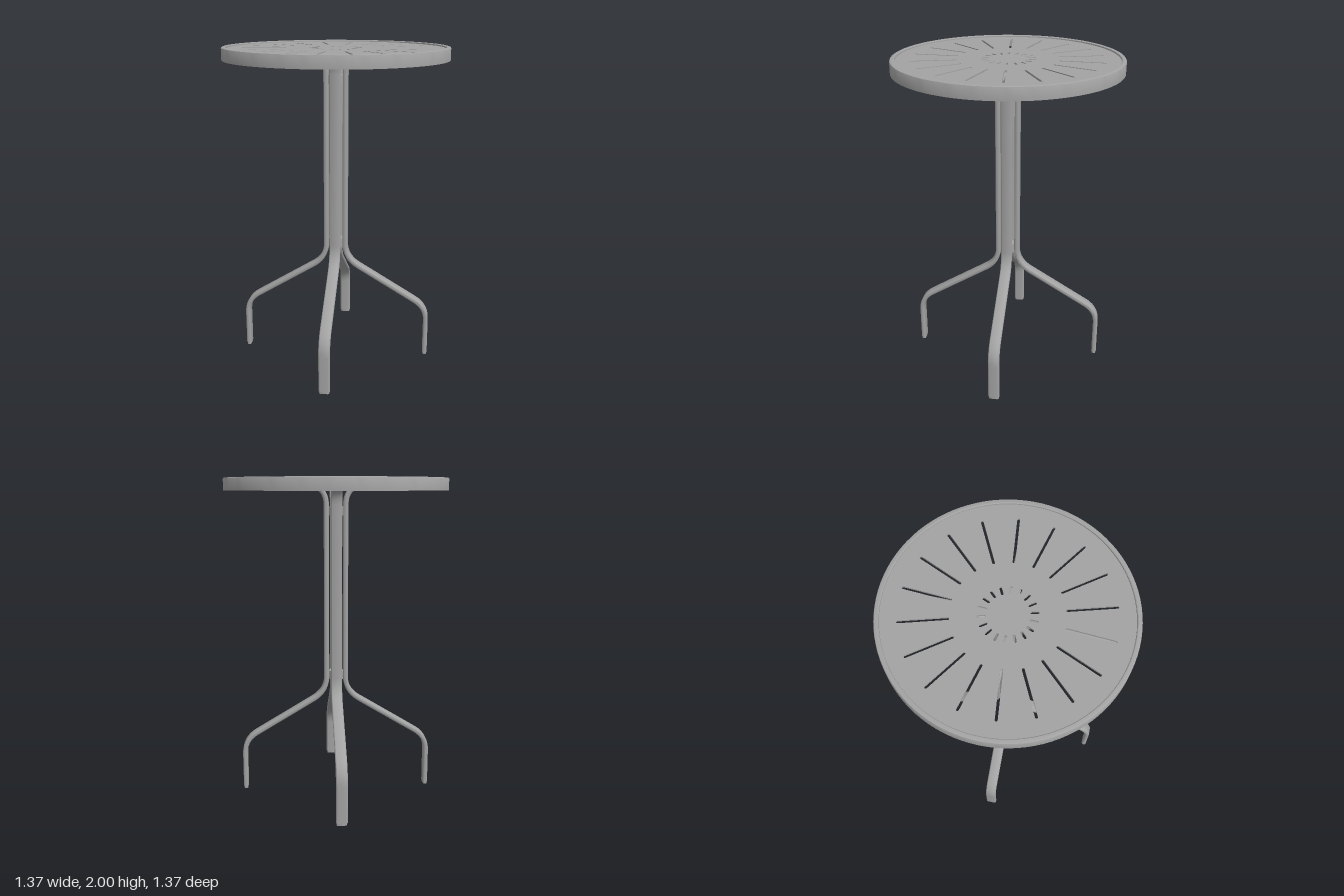
import * as THREE from 'three';
import { toCreasedNormals } from 'three/addons/utils/BufferGeometryUtils.js';

const V = (x, y) => new THREE.Vector2(x, y);

// polyline with its inner corners rounded; each corner is [x, y, cut length]
function filletPath(corners) {
  const out = [];
  corners.forEach(([x, y, cut], i) => {
    const p = V(x, y);
    if (!cut) { out.push(p); return; }
    const toward = (c) => V(c[0], c[1]).sub(p).setLength(cut).add(p);
    const a = toward(corners[i - 1]), b = toward(corners[i + 1]);
    out.push(...new THREE.QuadraticBezierCurve(a, p, b).getPoints(10));
  });
  return out;
}

// outline of a rounded rectangle, counter-clockwise
function roundedRect(w, h, r, n = 4) {
  const pts = [];
  [[1, 1], [-1, 1], [-1, -1], [1, -1]].forEach(([sx, sy], q) => {
    for (let i = 0; i <= n; i++) {
      const a = (q + i / n) * Math.PI / 2;
      pts.push(V(sx * (w / 2 - r) + r * Math.cos(a), sy * (h / 2 - r) + r * Math.sin(a)));
    }
  });
  return pts;
}

// sweep a section along a path lying in the xy plane; section x runs along z
function sweep(path, section) {
  const pos = [], idx = [], n = section.length, last = path.length - 1;
  path.forEach((p, i) => {
    const t = path[Math.min(i + 1, last)].clone().sub(path[Math.max(i - 1, 0)]).normalize();
    section.forEach((s) => pos.push(p.x - t.y * s.y, p.y + t.x * s.y, s.x));
  });
  for (let i = 0; i < last; i++) {
    for (let j = 0; j < n; j++) {
      const a = i * n + j, b = i * n + (j + 1) % n;
      idx.push(a, a + n, b, b, a + n, b + n);
    }
  }
  for (let j = 1; j < n - 1; j++) {
    idx.push(0, j, j + 1);
    idx.push(last * n, last * n + j + 1, last * n + j);
  }
  const g = new THREE.BufferGeometry();
  g.setAttribute('position', new THREE.Float32BufferAttribute(pos, 3));
  g.setIndex(idx);
  return toCreasedNormals(g, 0.7);
}

// radial slot with round ends
function slot(angle, r0, r1, width) {
  const pts = [], h = width / 2;
  for (let i = 0; i <= 6; i++) {
    const a = -Math.PI / 2 + i * Math.PI / 6;
    pts.push(V(r1 - h + h * Math.cos(a), h * Math.sin(a)));
  }
  for (let i = 0; i <= 6; i++) {
    const a = Math.PI / 2 + i * Math.PI / 6;
    pts.push(V(r0 + h + h * Math.cos(a), h * Math.sin(a)));
  }
  const origin = V(0, 0);
  return new THREE.Path(pts.map((p) => p.rotateAround(origin, angle)));
}

export function createModel() {
  const model = new THREE.Group();
  model.name = 'roundTable';
  const metal = new THREE.MeshStandardMaterial({ color: 0xa3a3a3 });
  metal.name = 'grey painted metal';

  const add = (parent, name, geometry) => {
    const mesh = new THREE.Mesh(geometry, metal);
    mesh.name = name;
    parent.add(mesh);
    return mesh;
  };

  // slotted top plate
  const disc = new THREE.Shape();
  disc.absarc(0, 0, 0.668, 0, Math.PI * 2);
  for (let i = 0; i < 18; i++) {
    const a = THREE.MathUtils.degToRad(6 + i * 20);
    disc.holes.push(slot(a, 0.3, 0.572, 0.015), slot(a, 0.115, 0.162, 0.014));
  }
  const plate = new THREE.ExtrudeGeometry(disc, { depth: 0.012, bevelEnabled: false, curveSegments: 96 });
  plate.rotateX(-Math.PI / 2).translate(0, 1.978, 0);
  add(model, 'topPlate', plate);

  // folded rim with a slightly raised lip
  const rim = [
    [0.679, 1.925], [0.686, 1.925], [0.686, 1.994], [0.684, 1.998], [0.68, 2],
    [0.663, 2], [0.659, 1.997], [0.658, 1.988], [0.658, 1.978], [0.679, 1.978], [0.679, 1.925],
  ].map(([x, y]) => V(x, y));
  add(model, 'rim', toCreasedNormals(new THREE.LatheGeometry(rim, 96), 0.6));

  // four bent flat-tube legs that run on as arms beneath the plate
  const legPath = filletPath([
    [0.595, 0.015, 0], [0.595, 0.33, 0.09], [0.06, 0.653, 0.1], [0.06, 1.955, 0.12], [0.675, 1.955, 0],
  ]);
  const legGeometry = sweep(legPath, roundedRect(0.07, 0.031, 0.012));
  const footGeometry = sweep([V(0.595, 0), V(0.595, 0.02)], roundedRect(0.062, 0.025, 0.01));
  const clipGeometry = new THREE.BoxGeometry(0.025, 0.02, 0.07);
  for (let i = 0; i < 4; i++) {
    const leg = new THREE.Group();
    leg.name = 'legAssembly';
    leg.rotation.y = i * Math.PI / 2;
    add(leg, 'leg', legGeometry);
    add(leg, 'footPlug', footGeometry);
    add(leg, 'rimClip', clipGeometry).position.set(0.664, 1.936, 0);
    model.add(leg);
  }

  // spacers joining the legs at the column
  for (const y of [0.76, 1.802]) {
    add(model, 'spacer', new THREE.CylinderGeometry(0.047, 0.047, 0.056, 32)).position.y = y;
  }
  return model;
}
